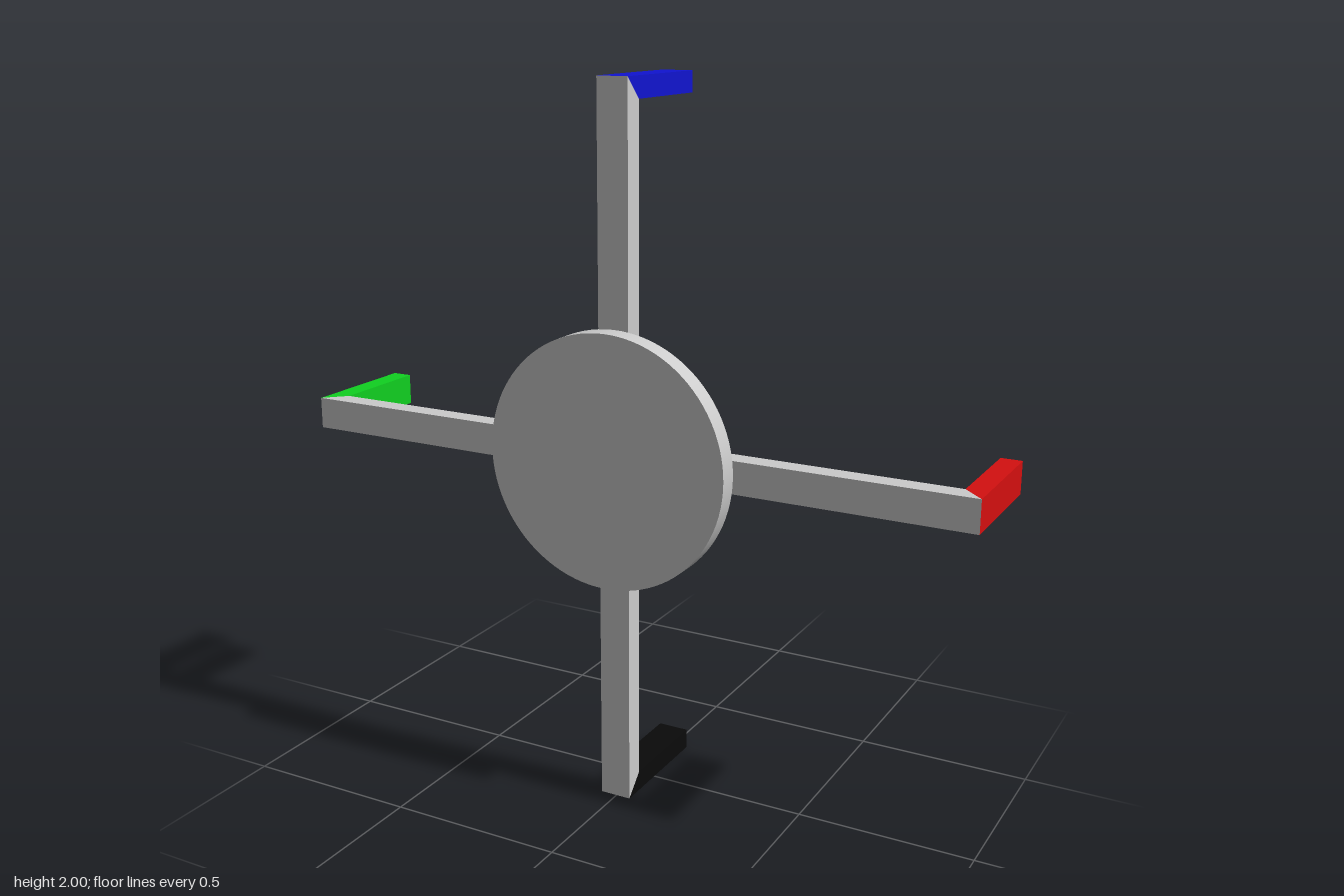
import * as THREE from 'three';

const GREY = 0xcccccc;
const WIDTH = 0.09, THICK = 0.058;
const FRONT = 0.15, BACK = -0.207, DISC_FRONT = 0.207;

// Prism from a radial (r, z) outline, centred across its width and pointing along +x
function prism(points, color, name) {
  const shape = new THREE.Shape(points.map(([r, z]) => new THREE.Vector2(r, z)));
  const geo = new THREE.ExtrudeGeometry(shape, { depth: WIDTH, bevelEnabled: false });
  geo.translate(0, 0, -WIDTH / 2);
  geo.rotateX(Math.PI / 2);
  const mesh = new THREE.Mesh(geo, new THREE.MeshStandardMaterial({ color }));
  mesh.name = name;
  return mesh;
}

// Grey spoke mitred into a coloured prong that points backwards
function limb(name, length, angle, color) {
  const group = new THREE.Group();
  const inner = length - THICK, rear = FRONT - THICK;
  group.add(
    prism([[0, rear], [inner, rear], [length, FRONT], [0, FRONT]], GREY, name + 'Spoke'),
    prism([[length, FRONT], [inner, rear], [inner, BACK], [length, BACK]], color, name + 'Prong')
  );
  group.rotation.z = angle;
  group.name = name + 'Limb';
  return group;
}

export function createModel() {
  const model = new THREE.Group();
  model.name = 'crossBracket';

  // Four limbs around the hub
  const limbs = [
    ['left', 1.003, 0xd41010],
    ['top', 0.998, 0x1014d0],
    ['right', 0.997, 0x10d020],
    ['bottom', 1.002, 0x0a0a0a],
  ];
  limbs.forEach(([name, length, color], i) => model.add(limb(name, length, i * Math.PI / 2, color)));

  // Round plate on the front of the cross
  const depth = DISC_FRONT - FRONT;
  const disc = new THREE.CylinderGeometry(0.352, 0.352, depth, 96);
  disc.rotateX(Math.PI / 2);
  const plate = new THREE.Mesh(disc, new THREE.MeshStandardMaterial({ color: GREY }));
  plate.position.z = FRONT + depth / 2;
  plate.name = 'frontPlate';
  model.add(plate);

  model.position.set(-0.003, 1.002, 0);
  const root = new THREE.Group();
  root.add(model);
  return root;
}
